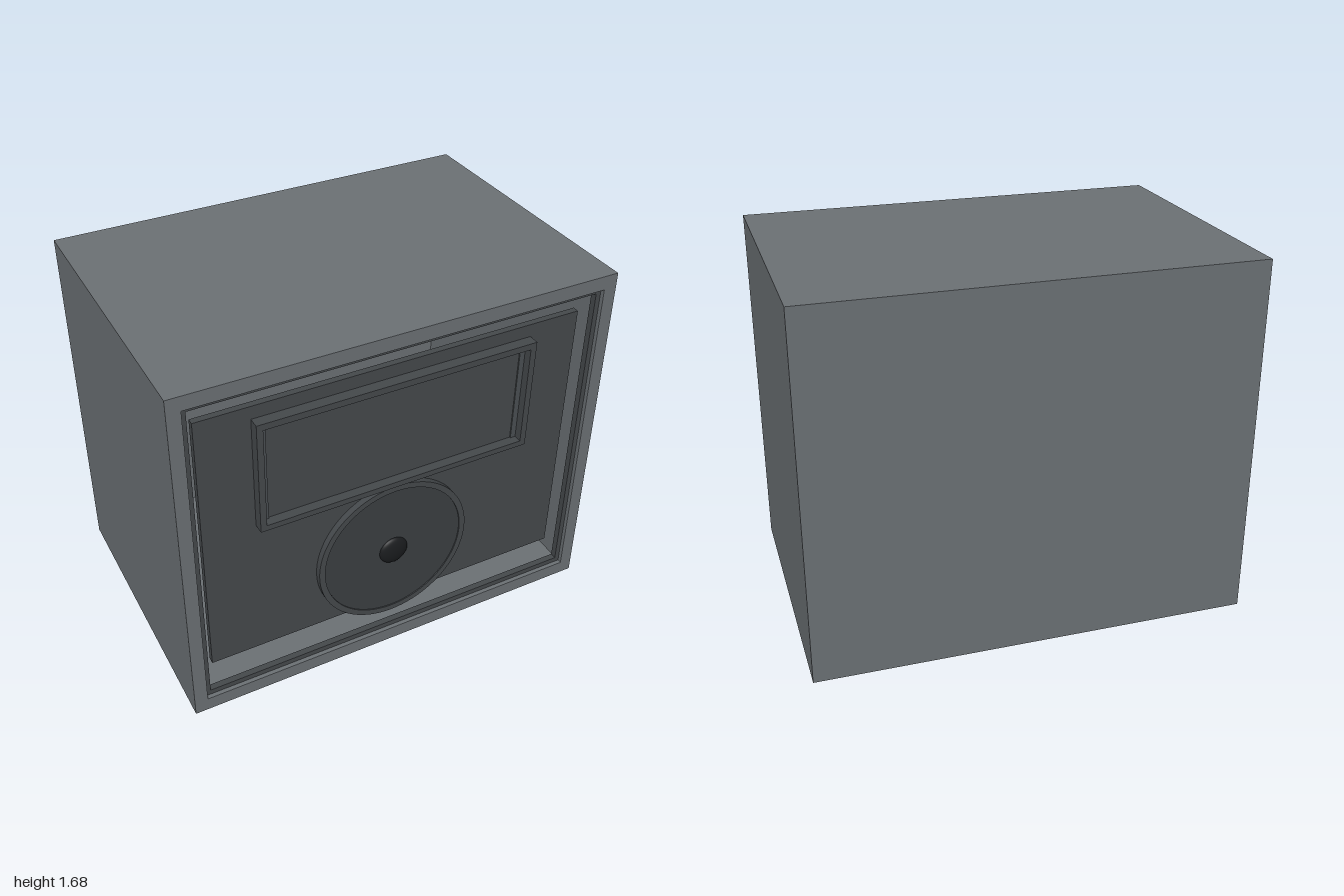
import * as THREE from 'three';

const W = 2, H = 1.68, D = 1.35, FRONT = D / 2, WALL = 0.06;
const material = (color) => new THREE.MeshStandardMaterial({ color });

// Rectangle outline from corner to corner
function rectPath(path, x, y0, y1) {
  path.moveTo(-x, y0);
  path.lineTo(x, y0);
  path.lineTo(x, y1);
  path.lineTo(-x, y1);
  path.closePath();
  return path;
}

// Rectangular frame, outer and inner given as [halfWidth, bottom, top]
function frameGeometry(outer, inner, z0, z1) {
  const shape = rectPath(new THREE.Shape(), ...outer);
  shape.holes.push(rectPath(new THREE.Path(), ...inner));
  return new THREE.ExtrudeGeometry(shape, { depth: z1 - z0, bevelEnabled: false }).translate(0, 0, z0);
}

// Box given by its extents
function boxGeometry(x0, x1, y0, y1, z0, z1) {
  return new THREE.BoxGeometry(x1 - x0, y1 - y0, z1 - z0)
    .translate((x0 + x1) / 2, (y0 + y1) / 2, (z0 + z1) / 2);
}

export function createModel() {
  const model = new THREE.Group();
  const shell = material(0x6c7175);
  const dark = material(0x45494c);
  const trim = material(0x4b5053);
  const cone = material(0x3b3f42);
  const black = material(0x1a1c1e);

  const add = (name, geometry, mat) => {
    const mesh = new THREE.Mesh(geometry, mat);
    mesh.name = name;
    model.add(mesh);
    return mesh;
  };

  // Hollow cabinet, open at the front
  const opening = [0.94, 0.065, 1.615];
  const back = -FRONT + WALL;
  add('cabinetShell', frameGeometry([W / 2, 0, H], opening, back, FRONT), shell);
  add('cabinetBack', boxGeometry(-W / 2, W / 2, 0, H, -FRONT, back), shell);

  // Thin dark trim just inside the opening
  add('openingTrim', frameGeometry(opening, [0.917, 0.09, 1.592], 0.625, 0.655), dark);

  // Control panel standing inside the opening
  add('frontPanel', boxGeometry(-0.88, 0.88, 0.19, 1.49, 0.57, 0.6), dark);

  // Display window with a raised bezel and side strips
  add('windowBezel', frameGeometry([0.643, 0.893, 1.43], [0.615, 0.92, 1.4], 0.6, 0.65), dark);
  add('windowScreen', boxGeometry(-0.59, 0.59, 0.92, 1.4, 0.598, 0.606), dark);
  for (const side of [-1, 1]) {
    const strip = add(side > 0 ? 'leftWindowStrip' : 'rightWindowStrip',
      boxGeometry(-0.0125, 0.0125, 0.92, 1.4, 0.598, 0.612), trim);
    strip.position.x = side * 0.6025;
  }

  // Round dial: outer ring, disc and domed hub
  const dial = new THREE.Group();
  dial.name = 'dial';
  dial.position.set(0, 0.508, 0.6);
  const ringShape = new THREE.Shape().absarc(0, 0, 0.37, 0, Math.PI * 2);
  ringShape.holes.push(new THREE.Path().absarc(0, 0, 0.342, 0, Math.PI * 2, true));
  const ring = new THREE.Mesh(new THREE.ExtrudeGeometry(ringShape,
    { depth: 0.03, bevelEnabled: false, curveSegments: 64 }), dark);
  ring.name = 'dialRing';
  const disc = new THREE.Mesh(new THREE.CylinderGeometry(0.342, 0.342, 0.025, 64)
    .rotateX(Math.PI / 2).translate(0, 0, 0.0125), cone);
  disc.name = 'dialDisc';
  const hub = new THREE.Mesh(new THREE.SphereGeometry(0.07, 32, 12, 0, Math.PI * 2, 0, Math.PI / 2)
    .rotateX(Math.PI / 2).scale(1, 1, 0.35), black);
  hub.name = 'dialHub';
  hub.position.z = 0.025;
  dial.add(ring, disc, hub);
  model.add(dial);

  return model;
}
